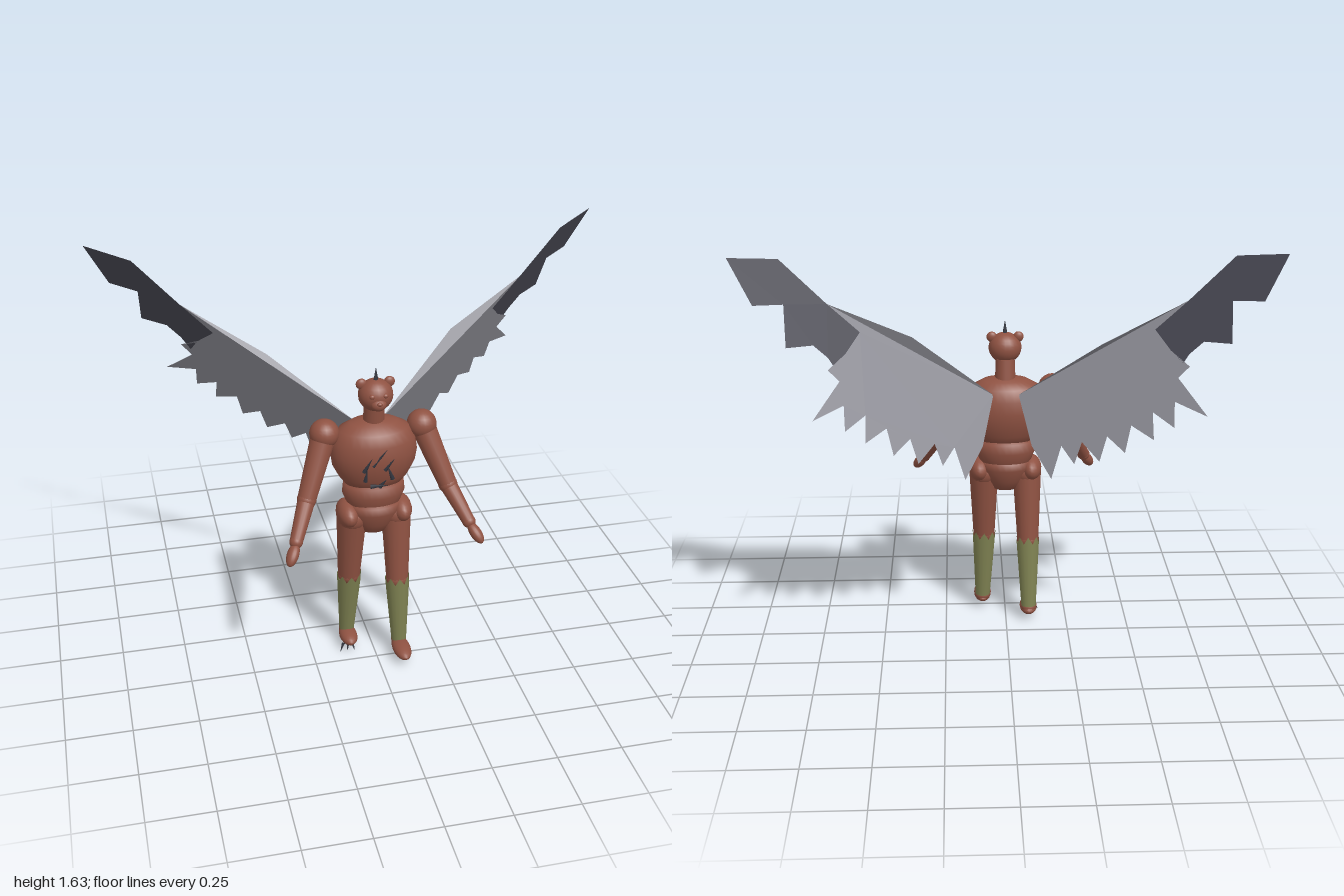
import * as THREE from 'three';

const mat = (name, color, side = THREE.FrontSide) => {
  const m = new THREE.MeshStandardMaterial({ color, side });
  m.name = name;
  return m;
};
const V = (x, y, z) => new THREE.Vector3(x, y, z);

export function createModel() {
  const skin = mat('clay brown', 0x8f5242);
  const olive = mat('olive', 0x7f8252, THREE.DoubleSide);
  const grey = mat('feather grey', 0x8e8e96, THREE.DoubleSide);
  const dark = mat('dark feather', 0x474751, THREE.DoubleSide);
  const horn = mat('horn charcoal', 0x33363f, THREE.DoubleSide);
  const root = new THREE.Group();
  root.name = 'wingedFigure';

  const add = (name, geo, material, pos) => {
    const m = new THREE.Mesh(geo, material);
    m.name = name;
    if (pos) m.position.copy(pos);
    root.add(m);
    return m;
  };
  const ball = (name, pos, rx, ry = rx, rz = rx, material = skin) => {
    const m = add(name, new THREE.SphereGeometry(1, 20, 14), material, pos);
    m.scale.set(rx, ry, rz);
    return m;
  };
  // Tapered limb running from a to b
  const limb = (name, a, b, ra, rb, material = skin, sides = 16) => {
    const d = b.clone().sub(a);
    const m = add(name, new THREE.CylinderGeometry(rb, ra, d.length(), sides), material, a.clone().addScaledVector(d, 0.5));
    m.quaternion.setFromUnitVectors(V(0, 1, 0), d.normalize());
    return m;
  };
  const spike = (name, a, b, r) => limb(name, a, b, r, 0, horn, 5);
  // Oval body section turned from a profile of [radius, height]
  const turned = (name, pts, depth, z) => {
    const m = add(name, new THREE.LatheGeometry(pts.map(([r, y]) => new THREE.Vector2(r, y)), 28), skin, V(0, 0, z));
    m.scale.z = depth;
    return m;
  };

  // Torso
  turned('chest', [[0, .765], [.105, .77], [.135, .81], [.16, .86], [.168, .91], [.16, .96], [.135, 1.005], [.09, 1.03], [.04, 1.04], [0, 1.04]], .66, .175);
  turned('abdomen', [[0, .66], [.085, .665], [.105, .69], [.122, .735], [.118, .775], [.08, .80], [0, .80]], .72, .175);
  turned('pelvis', [[0, .56], [.05, .565], [.08, .605], [.108, .66], [.105, .69], [.07, .715], [0, .72]], .78, .18);

  // Neck and head
  limb('neck', V(0, 1.0, .17), V(0, 1.11, .185), .042, .038);
  ball('head', V(0, 1.153, .205), .066, .062, .062);
  ball('muzzle', V(0, 1.133, .255), .03, .024, .024);
  ball('nose', V(0, 1.143, .274), .011, .008, .008);
  spike('headHorn', V(0, 1.195, .205), V(0, 1.265, .208), .013);
  for (const s of [-1, 1]) {
    ball('ear', V(s * .053, 1.198, .2), .021, .021, .013);
    ball('brow', V(s * .025, 1.168, .257), .011, .009, .009);
  }

  // Shards set in the chest
  [[-.06, .87, -.03, .93], [-.025, .89, .03, .965], [.05, .83, .025, .90], [-.055, .83, -.05, .885], [.02, .87, .055, .92], [0, .80, .025, .835], [-.035, .805, .03, .81]]
    .forEach(([x, y, x2, y2]) => spike('chestShard', V(x, y, .277), V(x2, y2, .288), .009));

  // Arms
  for (const s of [-1, 1]) {
    const shoulder = V(s * .188, .995, .17), elbow = V(s * .275, .765, .25);
    const wrist = V(s * .335, .645, .345);
    ball('shoulder', shoulder, .057, .056, .057);
    limb('upperArm', V(s * .2, .965, .18), elbow, .047, .036);
    ball('elbow', elbow, .037);
    limb('forearm', elbow, wrist, .034, .025);
    ball('wrist', wrist, .026);
    const hand = ball('hand', V(s * .354, .61, .377), .025, .047, .022);
    hand.quaternion.setFromUnitVectors(V(0, 1, 0), V(s * .4, -.65, .6).normalize());
  }

  // Legs, one stepping forward
  const legs = [
    { s: 1, knee: V(.088, .345, .218), ankle: V(.095, .055, .23), footZ: .277, footLen: .08 },
    { s: -1, knee: V(-.092, .345, .148), ankle: V(-.095, .055, .108), footZ: .14, footLen: .07 },
  ];
  for (const { s, knee, ankle, footZ, footLen } of legs) {
    const hip = V(s * .088, .635, .185);
    ball('hipJoint', V(s * .105, .65, .185), .043, .05, .08);
    ball('thighTop', hip, .06, .06, .063);
    limb('thigh', hip, knee, .059, .044);
    ball('knee', knee, .045, .04, .045);
    // Legging with a jagged top rim
    const h = knee.y - ankle.y;
    const geo = new THREE.CylinderGeometry(.048, .03, h, 16, 1, true);
    const p = geo.attributes.position;
    for (let i = 0; i <= 16; i++) p.setY(i, h / 2 + (i % 2 ? -.012 : .018));
    const legging = add('legging', geo, olive, knee.clone().add(ankle).multiplyScalar(.5));
    legging.quaternion.setFromUnitVectors(V(0, 1, 0), knee.clone().sub(ankle).normalize());
    ball('ankle', ankle, .031, .026, .031);
    ball('foot', V(s * .095, .044, footZ), .036, .026, footLen);
  }
  for (const dx of [-.045, -.015, .015])
    spike('toeClaw', V(-.095 + dx * .6, .03, .175), V(-.095 + dx, 0, .195), .007);

  // Wings: outlines drawn in x and y, laid on one slanted plane
  const planeZ = (x, y) => -.47 - .83 * x + .608 * y;
  const coverts = [[.05, .99], [.665, 1.425], [.55, 1.31], [.60, 1.25], [.66, 1.21], [.62, 1.165], [.71, 1.06],
    [.605, 1.085], [.60, 1.0], [.53, 1.035], [.53, .945], [.455, .975], [.43, .88], [.37, .92], [.34, .83],
    [.28, .88], [.25, .80], [.205, .85], [.165, .73], [.095, .825]];
  const tip = [[.55, 1.31], [.665, 1.425], [.83, 1.60], [.995, 1.63], [.91, 1.465], [.81, 1.45], [.80, 1.31],
    [.71, 1.30], [.66, 1.25], [.625, 1.195], [.60, 1.25]];
  const panel = (name, pts, s, material) => {
    const geo = new THREE.ShapeGeometry(new THREE.Shape(pts.map(([x, y]) => new THREE.Vector2(s * x, y))));
    const p = geo.attributes.position;
    for (let i = 0; i < p.count; i++) p.setZ(i, planeZ(Math.abs(p.getX(i)), p.getY(i)));
    geo.computeVertexNormals();
    add(name, geo, material);
  };
  for (const s of [-1, 1]) {
    panel('wingFeathers', coverts, s, grey);
    panel('wingTip', tip, s, dark);
    // Folded strip along the leading edge
    const crest = s > 0 ? 1.27 : 1.235;
    const tri = [V(s * .05, .99, planeZ(.05, .99)), V(s * .665, 1.425, planeZ(.665, 1.425)), V(s * .36, crest, -.06)];
    const geo = new THREE.BufferGeometry().setFromPoints(s > 0 ? tri : tri.reverse());
    geo.computeVertexNormals();
    add('wingLeadingEdge', geo, grey);
  }
  return root;
}
